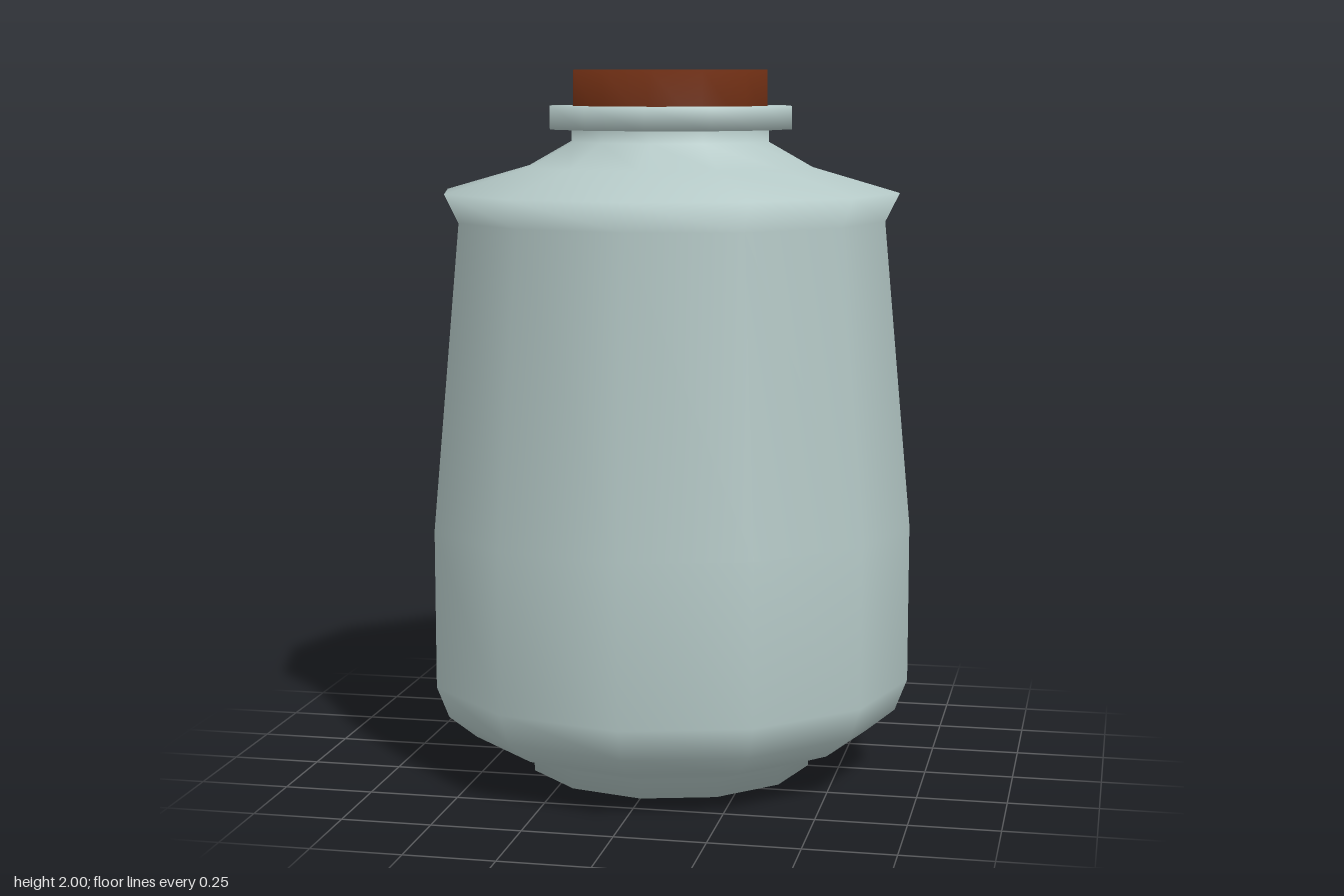
import * as THREE from 'three';

const SIDES = 12;

// Smooth twelve-sided turned part; profile points are [radius, height], bottom to top
function turned(name, profile, color) {
  const points = profile.map(([r, y]) => new THREE.Vector2(r, y));
  const material = new THREE.MeshStandardMaterial({ color, side: THREE.DoubleSide });
  const mesh = new THREE.Mesh(new THREE.LatheGeometry(points, SIDES), material);
  mesh.name = name;
  return mesh;
}

export function createModel() {
  const group = new THREE.Group();
  group.name = 'jar';
  const glaze = 0xb4c8c6;

  // Foot, belly, flared shoulder edge and neck
  group.add(turned('body', [
    [0, 0], [0.41, 0], [0.41, 0.05], [0.58, 0.115], [0.66, 0.18], [0.695, 0.27],
    [0.695, 0.72], [0.615, 1.58], [0.655, 1.66], [0.41, 1.73], [0.285, 1.8], [0.285, 1.85],
  ], glaze));

  // Lip around the neck
  group.add(turned('lip', [
    [0.285, 1.835], [0.35, 1.835], [0.35, 1.9], [0.285, 1.9],
  ], glaze));

  // Stopper
  group.add(turned('stopper', [
    [0.28, 1.84], [0.28, 2], [0, 2],
  ], 0x662a11));

  return group;
}
